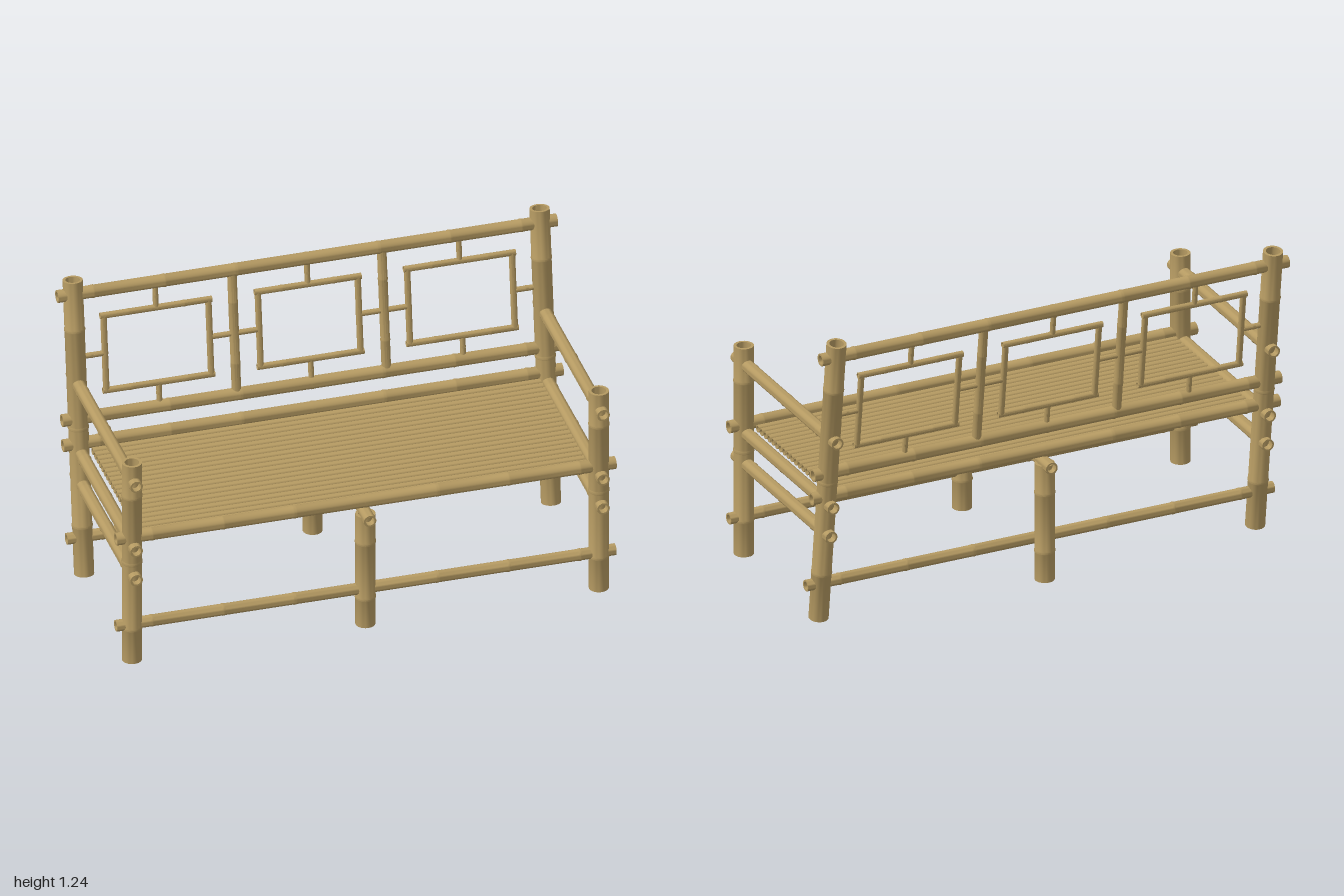
import * as THREE from 'three';
import { toCreasedNormals } from 'three/addons/utils/BufferGeometryUtils.js';

const bamboo = new THREE.MeshStandardMaterial({ color: 0xb59a62 });
bamboo.name = 'bamboo';

// Hollow cane of the given length, with evenly spaced raised joints
function caneGeometry(length, r, joints, sides) {
  const inner = r * 0.72, h = length / 2;
  const points = [[inner, h], [inner, -h], [r, -h]];
  for (let i = 0; i < joints; i++) {
    const y = -h + (length * (i + 0.5)) / joints;
    points.push([r, y - 0.008], [r * 1.06, y - 0.003], [r * 1.06, y + 0.003], [r, y + 0.008]);
  }
  points.push([r, h], [inner, h]);
  const lathe = new THREE.LatheGeometry(points.map(([x, y]) => new THREE.Vector2(x, y)), sides);
  return toCreasedNormals(lathe, 0.7);
}

// Cane running from point a to point b
function cane(parent, name, a, b, r, joints = 3, sides = 24) {
  const start = new THREE.Vector3(...a), end = new THREE.Vector3(...b);
  const axis = end.clone().sub(start);
  const mesh = new THREE.Mesh(caneGeometry(axis.length(), r, joints, sides), bamboo);
  mesh.name = name;
  mesh.position.copy(start).add(end).multiplyScalar(0.5);
  mesh.quaternion.setFromUnitVectors(new THREE.Vector3(0, 1, 0), axis.normalize());
  parent.add(mesh);
}

// Depth of the leaning back plane at height y
const backZ = (y) => -0.258 - 0.127 * y;

export function createModel() {
  const model = new THREE.Group();
  model.name = 'bambooBench';
  const frontZ = 0.39, legX = 0.935, legR = 0.039, railR = 0.025;

  // Posts and side rails
  for (const s of [-1, 1]) {
    const x = s * legX;
    cane(model, 'frontLeg', [x, 0, frontZ], [x, 0.885, frontZ], legR);
    cane(model, 'backPost', [x, 0.005, backZ(0.005)], [x, 1.235, backZ(1.235)], legR);
    cane(model, 'armrest', [x, 0.81, 0.455], [x, 0.81, -0.425], railR);
    cane(model, 'seatSideRail', [x, 0.52, 0.455], [x, 0.52, -0.39], railR);
    cane(model, 'lowerSideRail', [x, 0.39, 0.455], [x, 0.39, -0.372], railR);
  }

  // Middle legs and the support between them
  for (const z of [frontZ, -0.327]) cane(model, 'middleLeg', [0, 0, z], [0, 0.495, z], legR, 2);
  cane(model, 'seatSupport', [0, 0.495, 0.455], [0, 0.495, -0.39], railR);

  // Long rails
  const longRails = [
    ['frontSeatRail', 0.55, frontZ, railR],
    ['frontStretcher', 0.16, frontZ, 0.023],
    ['backStretcher', 0.16, backZ(0.16), 0.023],
    ['backSeatRail', 0.55, backZ(0.55), railR],
    ['lowerBackRail', 0.655, backZ(0.655), railR],
    ['topBackRail', 1.175, backZ(1.175), railR],
  ];
  for (const [name, y, z, r] of longRails) cane(model, name, [-1, y, z], [1, y, z], r, 7);

  // Seat slats
  const seat = new THREE.Group();
  seat.name = 'seat';
  model.add(seat);
  for (let i = 0; i < 20; i++) {
    const z = 0.347 - i * 0.0327;
    cane(seat, 'slat', [-0.897, 0.539, z], [0.897, 0.539, z], 0.0153, 0, 14);
  }

  // Back lattice
  const lattice = new THREE.Group();
  lattice.name = 'backLattice';
  model.add(lattice);
  const bar = (name, x0, y0, x1, y1, r, joints) =>
    cane(lattice, name, [x0, y0, backZ(y0)], [x1, y1, backZ(y1)], r, joints, 14);

  for (const x of [-0.3, 0.3]) bar('divider', x, 0.66, x, 1.17, 0.0185, 2);

  const top = 1.067, bottom = 0.754, middle = 0.91;
  for (const x of [-0.608, 0, 0.608]) {
    const half = x === 0 ? 0.2 : 0.21;
    for (const y of [bottom, top]) bar('frameRail', x - half - 0.014, y, x + half + 0.014, y, 0.0125, 2);
    for (const s of [-1, 1]) bar('frameStile', x + s * half, bottom, x + s * half, top, 0.0125, 1);
    bar('upperSpacer', x, top, x, 1.165, 0.011, 1);
    bar('lowerSpacer', x, 0.665, x, bottom, 0.011, 1);
  }
  // Short spacers beside the frames
  for (const s of [-1, 1]) {
    bar('outerSpacer', s * 0.925, middle, s * 0.818, middle, 0.011, 1);
    bar('innerSpacer', s * 0.398, middle, s * 0.2, middle, 0.011, 1);
  }
  return model;
}
